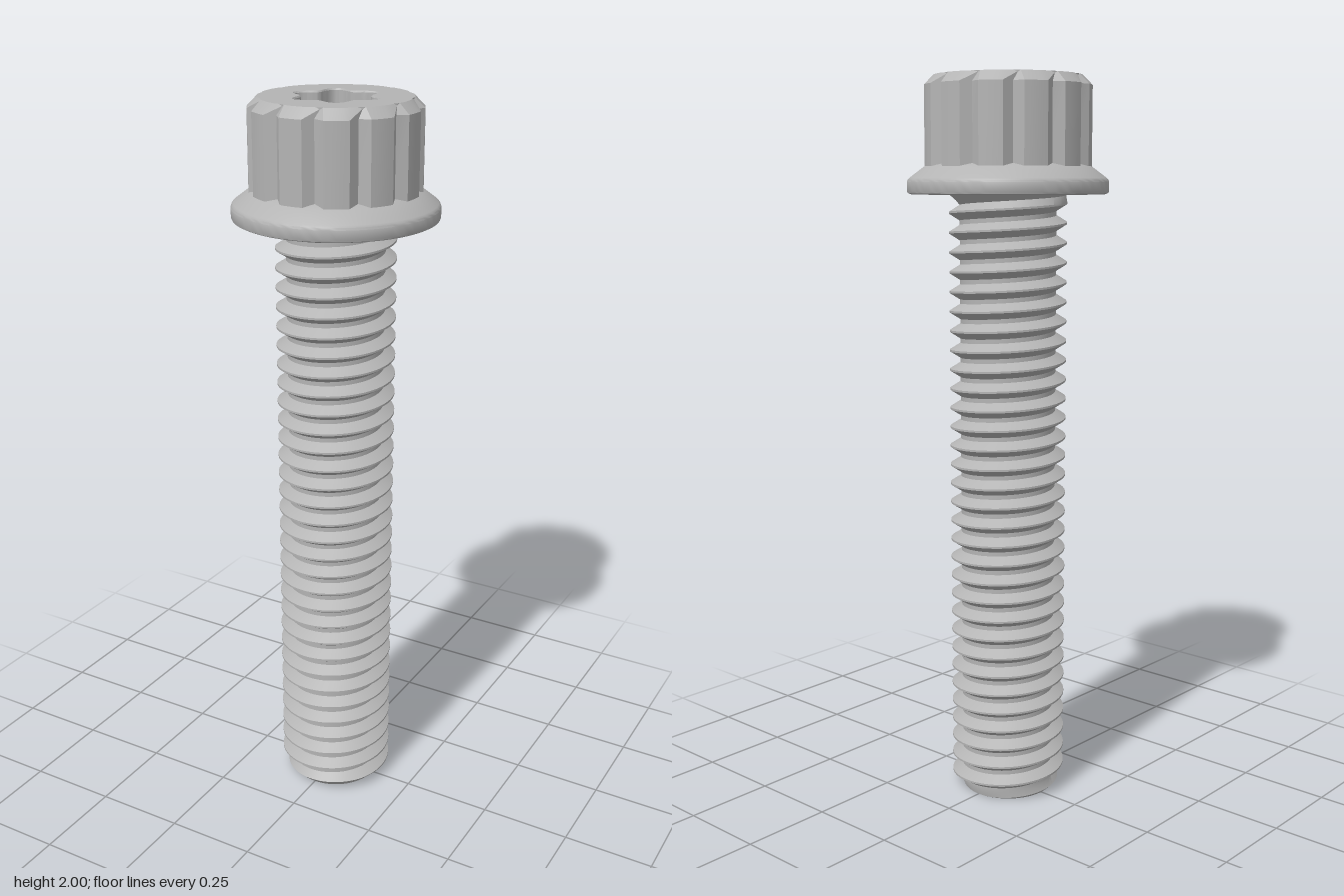
import * as THREE from 'three';
import { toCreasedNormals } from 'three/addons/utils/BufferGeometryUtils.js';

const TAU = Math.PI * 2;
const steel = new THREE.MeshStandardMaterial({ color: 0xb4b4b4 });
steel.name = 'steel';

// Skin a grid of points; rows run bottom to top, columns counter-clockwise from above
function skin(rows, crease = 0.5) {
  const n = rows[0].length;
  const index = [];
  for (let i = 0; i < rows.length - 1; i++) {
    for (let j = 0; j < n - 1; j++) {
      const a = i * n + j;
      index.push(a, a + 1, a + n + 1, a, a + n + 1, a + n);
    }
  }
  const g = new THREE.BufferGeometry();
  g.setAttribute('position', new THREE.Float32BufferAttribute(rows.flat(2), 3));
  g.setIndex(index);
  return toCreasedNormals(g, crease);
}

// Lift a flat outline (Vector2 list) to height y as a closed ring
const ring = (pts, y, scale = 1) =>
  [...pts, pts[0]].map((p) => [p.x * scale, y, -p.y * scale]);

// Twelve-tooth outline with parallel tooth sides and round roots
function toothOutline(tipRadius) {
  const half = 0.032, centre = 0.197;
  const root = centre * Math.sin(TAU / 24) - half;
  const tip = Math.asin(half / tipRadius);
  const pts = [];
  for (let k = 0; k < 12; k++) {
    const a = (k * TAU) / 12, mid = a + TAU / 24;
    for (let i = 0; i <= 4; i++) {
      const t = a + tip * (i / 2 - 1);
      pts.push(new THREE.Vector2(Math.cos(t) * tipRadius, Math.sin(t) * tipRadius));
    }
    const sweep = Math.PI - TAU / 12;
    for (let i = 0; i <= 10; i++) {
      const t = mid + Math.PI + sweep * (i / 10 - 0.5);
      pts.push(new THREE.Vector2(
        Math.cos(mid) * centre + Math.cos(t) * root,
        Math.sin(mid) * centre + Math.sin(t) * root));
    }
  }
  return pts;
}

// Six-lobe socket outline
function lobeOutline(grow = 0) {
  return Array.from({ length: 96 }, (_, i) => {
    const t = (i * TAU) / 96;
    const r = 0.104 + 0.016 * Math.cos(6 * t) + grow;
    return new THREE.Vector2(Math.cos(t) * r, Math.sin(t) * r);
  });
}

// Helical thread, trimmed by the end chamfer and the fillet under the head
function threadGeometry() {
  const pitch = 0.0533, minor = 0.131, major = 0.16, top = 1.69, seg = 64;
  const profile = [[0, minor], [0.22, minor], [0.56, major], [0.66, major]];
  const rows = [];
  for (let k = -2; k <= Math.ceil(top / pitch); k++) {
    for (const [f, r] of profile) {
      const row = [];
      for (let j = 0; j <= seg; j++) {
        const t = (j / seg) * TAU;
        const y = THREE.MathUtils.clamp((k + f + j / seg) * pitch + 0.0025, 0, top);
        const fillet = minor + (y - 1.665) * 1.16;
        const rad = Math.min(Math.max(r, fillet), 0.127 + y);
        row.push([Math.cos(t) * rad, y, -Math.sin(t) * rad]);
      }
      rows.push(row);
    }
  }
  return skin(rows);
}

export function createModel() {
  const model = new THREE.Group();
  model.name = 'flangeBolt';
  const add = (name, geometry) => {
    const mesh = new THREE.Mesh(geometry, steel);
    mesh.name = name;
    model.add(mesh);
    return mesh;
  };

  // Threaded shank and its flat end
  add('threadedShank', threadGeometry());
  add('shankEnd', new THREE.CircleGeometry(0.127, 64).rotateX(Math.PI / 2));

  // Flange with a rounded rim and conical top
  const flange = [
    [0.12, 1.69], [0.264, 1.69], [0.27, 1.693], [0.272, 1.698], [0.272, 1.722],
    [0.27, 1.728], [0.265, 1.733], [0.225, 1.763], [0.2, 1.772], [0.16, 1.776],
  ].map(([x, y]) => new THREE.Vector2(x, y));
  add('flange', toCreasedNormals(new THREE.LatheGeometry(flange, 96), 0.6));

  // Toothed head with chamfered tooth tips
  const outer = toothOutline(0.225), inner = toothOutline(0.199);
  add('toothedHead', skin([ring(outer, 1.74), ring(outer, 1.974), ring(inner, 2)]));

  // Top face around the socket opening
  const face = new THREE.Shape(inner);
  face.holes.push(new THREE.Path(lobeOutline(0.003)));
  add('topFace', new THREE.ShapeGeometry(face).rotateX(-Math.PI / 2)).position.y = 2;

  // Socket walls with a softened lip, and a conical floor
  const lobe = lobeOutline();
  add('socketWall', skin([ring(lobeOutline(0.003), 2), ring(lobe, 1.996), ring(lobe, 1.86)]));
  add('socketFloor', skin([ring(lobe, 1.86), ring(lobe, 1.835, 0.5), ring(lobe, 1.81, 0)]));

  return model;
}
